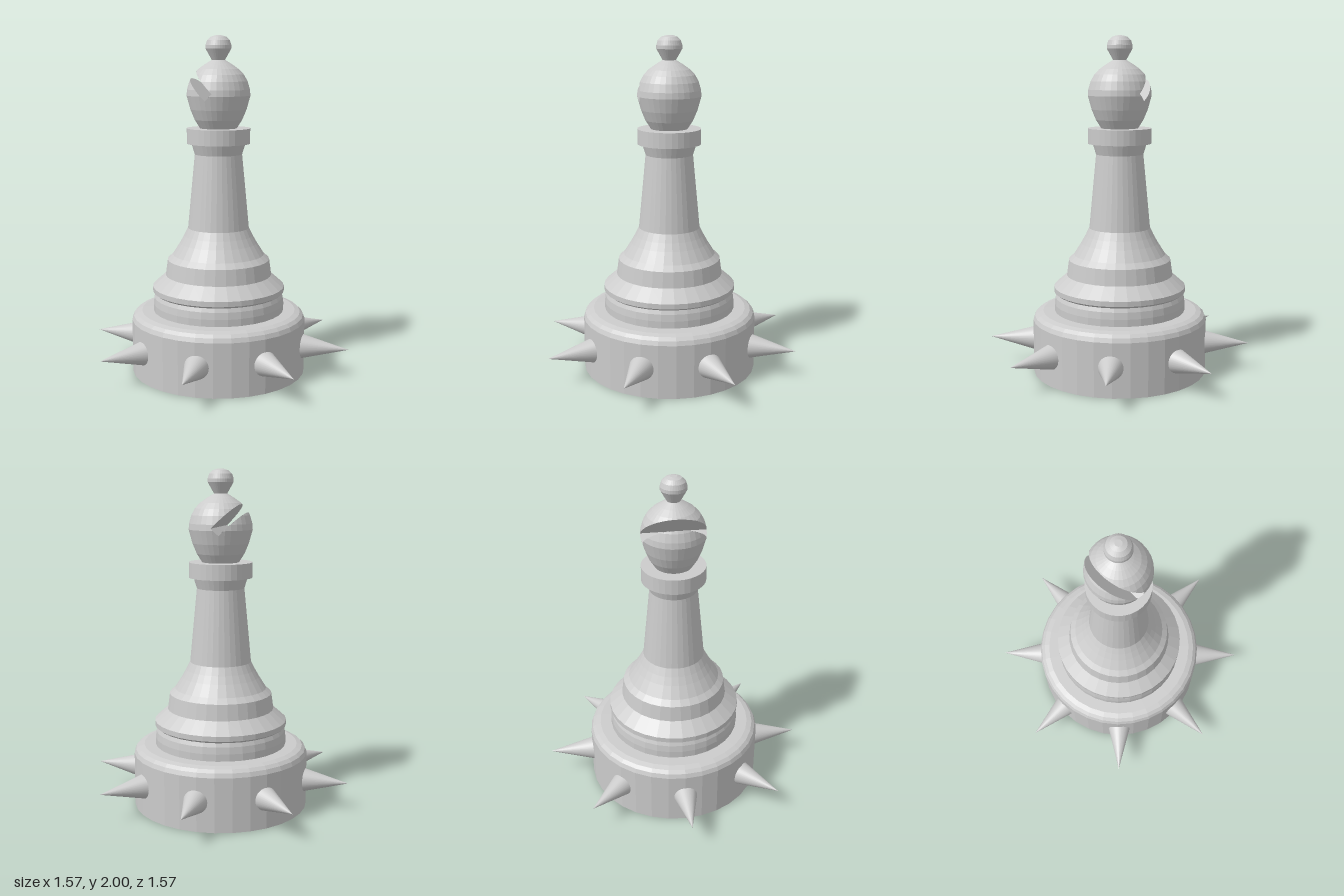
import * as THREE from 'three';

const SEG = 32;
const flat = new THREE.MeshStandardMaterial({ color: 0xcccccc, flatShading: true });
const smooth = new THREE.MeshStandardMaterial({ color: 0xcccccc });
const thin = new THREE.MeshStandardMaterial({ color: 0xcccccc, flatShading: true, side: THREE.DoubleSide });

const lathe = (pts) => new THREE.LatheGeometry(pts.map(([r, y]) => new THREE.Vector2(r, y)), SEG);

function add(parent, name, geometry, material = flat) {
  const mesh = new THREE.Mesh(geometry, material);
  mesh.name = name;
  parent.add(mesh);
  return mesh;
}

// Turned profiles as [radius, height], bottom to top
const PROFILES = {
  base: [[0, 0], [0.522, 0], [0.522, 0.32], [0.512, 0.345], [0.493, 0.362], [0.462, 0.372], [0.38, 0.374]],
  foot: [[0.393, 0.37], [0.393, 0.415], [0.388, 0.455], [0.379, 0.478], [0.395, 0.49], [0.395, 0.52],
    [0.318, 0.588], [0.305, 0.682], [0.273, 0.712], [0.23, 0.78], [0.205, 0.825], [0.182, 0.872]],
  stem: [[0.182, 0.872], [0.14, 1.312], [0.16, 1.376]],
  collar: [[0.14, 1.375], [0.187, 1.375], [0.187, 1.465], [0.1, 1.465]],
  finial: [[0.034, 1.852], [0.075, 1.925], [0.075, 1.945], [0.066, 1.972], [0.045, 1.992], [0.02, 2], [0, 2]],
};
const HEAD = [[0.108, 1.464], [0.14, 1.515], [0.165, 1.575], [0.187, 1.655], [0.184, 1.69], [0.17, 1.738],
  [0.148, 1.777], [0.118, 1.808], [0.08, 1.835], [0.036, 1.862], [0, 1.864]];

// Slot frame: u runs up and outward from the slot's floor, v across its width
const K = Math.SQRT1_2, HALF = 0.03, FLOOR = [-0.013, 1.648];
const uOf = (p) => (-(p.x - FLOOR[0]) + (p.y - FLOOR[1])) * K;
const vOf = (p) => ((p.x - FLOOR[0]) + (p.y - FLOOR[1])) * K;
const fromSlot = (u, v) => [FLOOR[0] + (v - u) * K, FLOOR[1] + (u + v) * K];

// Cut a polygon, keeping the side where f >= 0
function clip(poly, f) {
  const out = [];
  poly.forEach((a, i) => {
    const b = poly[(i + 1) % poly.length], fa = f(a), fb = f(b);
    if (fa >= 0) out.push(a);
    if (fa * fb < 0) out.push(a.clone().lerp(b, fa / (fa - fb)));
  });
  return out;
}

// Head surface with the slot region removed
function slottedHead() {
  const src = lathe(HEAD).toNonIndexed().attributes.position;
  const pos = [];
  const emit = (poly) => {
    for (let i = 1; i + 1 < poly.length; i++)
      for (const p of [poly[0], poly[i], poly[i + 1]]) pos.push(p.x, p.y, p.z);
  };
  for (let i = 0; i < src.count; i += 3) {
    const tri = [0, 1, 2].map((k) => new THREE.Vector3().fromBufferAttribute(src, i + k));
    emit(clip(tri, (p) => vOf(p) - HALF));
    emit(clip(tri, (p) => -HALF - vOf(p)));
    const middle = clip(clip(tri, (p) => HALF - vOf(p)), (p) => vOf(p) + HALF);
    emit(clip(middle, (p) => -uOf(p)));
  }
  const g = new THREE.BufferGeometry();
  g.setAttribute('position', new THREE.Float32BufferAttribute(pos, 3));
  g.computeVertexNormals();
  return g;
}

// Squared half depth of the head at a point of the x-y plane
function depthSq([x, y]) {
  const i = HEAD.findIndex((p) => p[1] >= y);
  if (i < 1) return -1;
  const [r0, y0] = HEAD[i - 1], [r1, y1] = HEAD[i];
  const r = r0 + (r1 - r0) * (y - y0) / (y1 - y0);
  return r * r - x * x;
}

// Wall spanning the head's depth along a path of x-y points
function slotWall(path) {
  const pos = [], index = [];
  path.forEach((p, i) => {
    const z = Math.sqrt(Math.max(0, depthSq(p)));
    pos.push(p[0], p[1], z, p[0], p[1], -z);
    if (i) index.push(2 * i - 2, 2 * i - 1, 2 * i, 2 * i - 1, 2 * i + 1, 2 * i);
  });
  const g = new THREE.BufferGeometry();
  g.setAttribute('position', new THREE.Float32BufferAttribute(pos, 3));
  g.setIndex(index);
  g.computeVertexNormals();
  return g;
}

// Side wall from the slot's floor out to the head's surface
function sideWall(v) {
  let u = 0;
  while (depthSq(fromSlot(u, v)) > 0) u += 0.0005;
  const path = [];
  for (let i = 0; i <= 24; i++) path.push(fromSlot(u * (1 - (1 - i / 24) ** 2), v));
  return slotWall(path);
}

export function createModel() {
  const model = new THREE.Group();
  model.name = 'spikedChessPiece';

  // Turned body
  const body = new THREE.Group();
  body.name = 'body';
  body.position.set(-0.007, 0, -0.003);
  model.add(body);
  for (const [name, pts] of Object.entries(PROFILES)) add(body, name, lathe(pts));

  // Head with its diagonal slot
  const head = new THREE.Group();
  head.name = 'head';
  body.add(head);
  add(head, 'headSurface', slottedHead());
  add(head, 'slotUpperWall', sideWall(HALF), thin);
  add(head, 'slotLowerWall', sideWall(-HALF), thin);
  add(head, 'slotFloor', slotWall([-1, -0.5, 0, 0.5, 1].map((t) => fromSlot(0, t * HALF))), thin);

  // Ring of spikes around the base
  const spikes = new THREE.Group();
  spikes.name = 'spikes';
  model.add(spikes);
  const cone = new THREE.ConeGeometry(0.078, 0.3, SEG);
  cone.rotateX(Math.PI / 2).translate(0, 0.175, 0.637);
  for (let i = 0; i < 8; i++) add(spikes, 'spike', cone, smooth).rotation.y = i * Math.PI / 4;

  return model;
}
